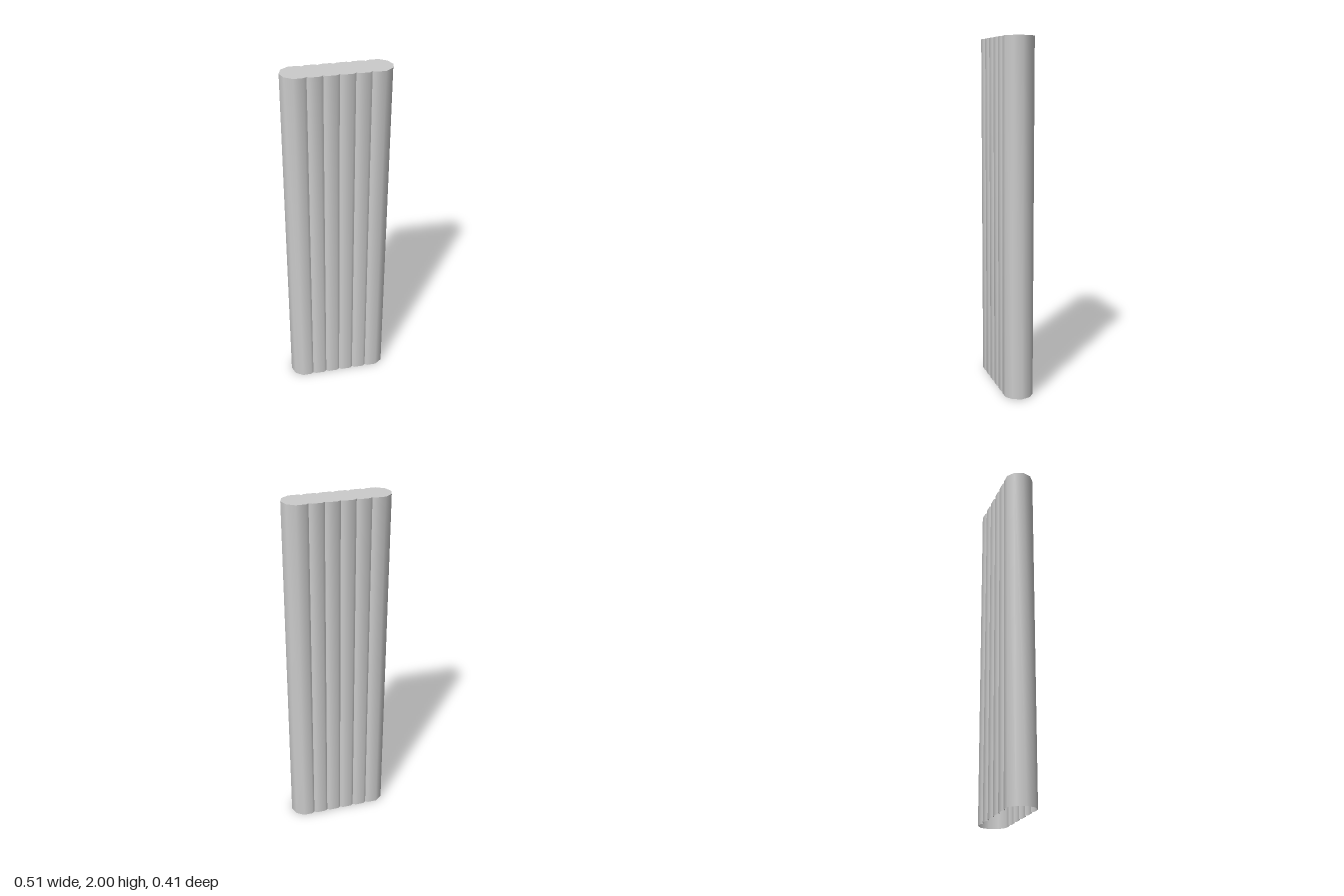
import * as THREE from 'three';
import { toCreasedNormals } from 'three/addons/utils/BufferGeometryUtils.js';

const COUNT = 6, RADIUS = 0.0855, HEIGHT = 2;
const STEP = new THREE.Vector2(0.068, 0.0495); // spacing of the fused ten-sided columns

// Outline of the fused row: one half, then the same half turned by 180 degrees
function outline() {
  const half = [];
  const centre = i => STEP.clone().multiplyScalar(i - (COUNT - 1) / 2);
  const corner = (i, deg) => {
    const a = THREE.MathUtils.degToRad(deg);
    half.push(centre(i).add(new THREE.Vector2(Math.cos(a), Math.sin(a)).multiplyScalar(RADIUS)));
  };
  for (const deg of [0, 36, 72, 108, 144]) corner(COUNT - 1, deg);
  for (let i = COUNT - 2; i >= 0; i--) {
    half.push(centre(i).add(new THREE.Vector2(-0.007, RADIUS * 0.951))); // groove between columns
    corner(i, 108);
    corner(i, 144);
  }
  return [...half, ...half.map(p => p.clone().negate())];
}

export function createModel() {
  const group = new THREE.Group();
  group.name = 'flutedColumn';
  const material = new THREE.MeshStandardMaterial({ color: 0xcccccc, side: THREE.DoubleSide });
  const shape = new THREE.Shape(outline());

  // Walls: the side faces of the extrusion, leaving the bottom open
  const solid = new THREE.ExtrudeGeometry(shape, { depth: HEIGHT, bevelEnabled: false });
  const { start, count } = solid.groups[1];
  const sides = new THREE.BufferGeometry();
  sides.setAttribute('position', new THREE.BufferAttribute(
    solid.attributes.position.array.slice(start * 3, (start + count) * 3), 3));
  sides.rotateX(-Math.PI / 2);
  const walls = new THREE.Mesh(toCreasedNormals(sides, THREE.MathUtils.degToRad(45)), material);
  walls.name = 'columnWalls';

  // Flat cap on top
  const capGeometry = new THREE.ShapeGeometry(shape).rotateX(-Math.PI / 2).translate(0, HEIGHT, 0);
  const cap = new THREE.Mesh(capGeometry, material);
  cap.name = 'topCap';

  group.add(walls, cap);
  return group;
}
